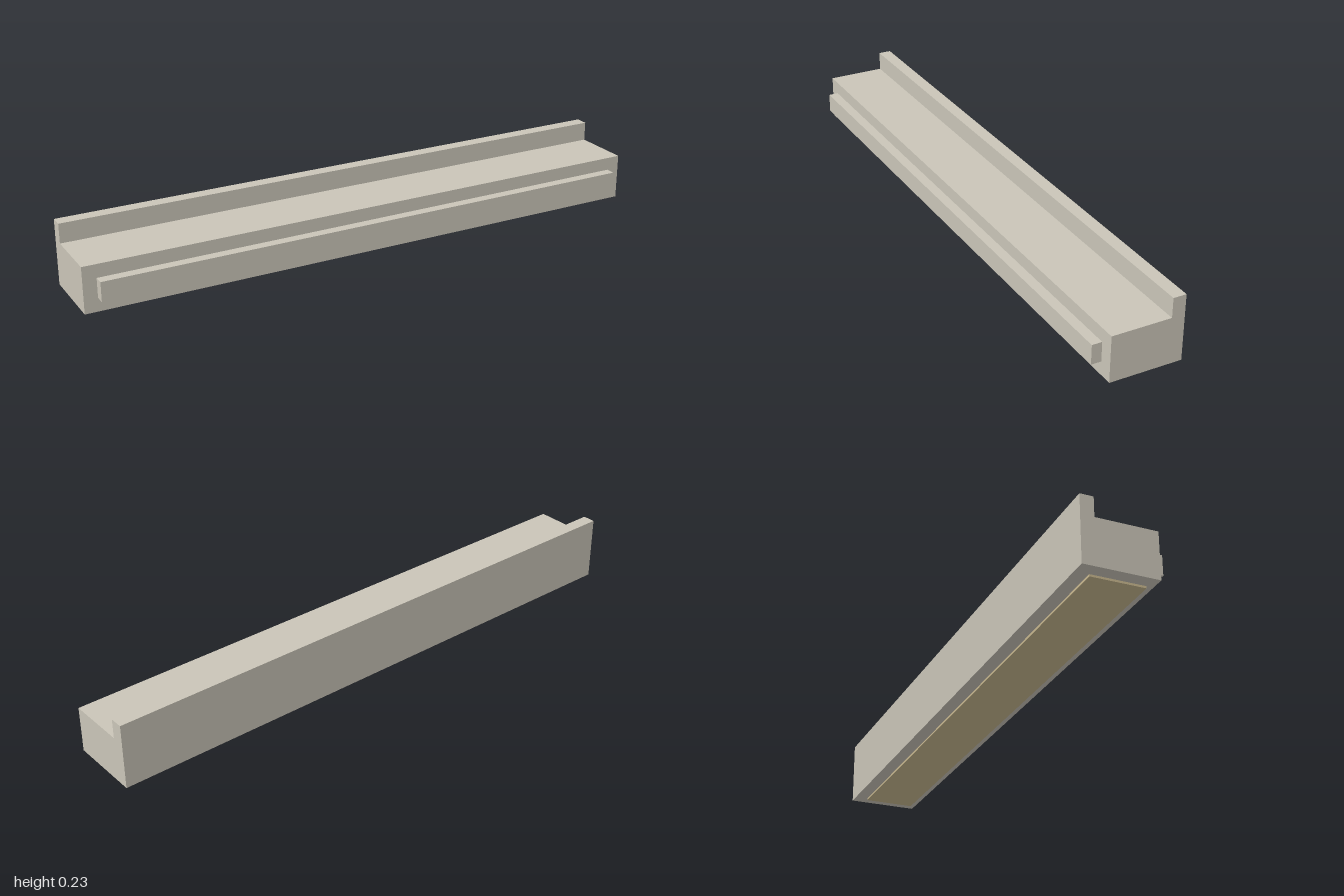
import * as THREE from 'three';

export function createModel() {
  const model = new THREE.Group();
  const stone = new THREE.MeshStandardMaterial({ color: 0xcac5b8 });
  stone.name = 'pale stone';
  const tan = new THREE.MeshStandardMaterial({ color: 0xc8b88f });
  tan.name = 'warm tan';

  // L-shaped body: section given as (z, y), swept along x
  const section = new THREE.Shape([
    [0.105, 0.007], [0.105, 0.163], [-0.095, 0.163],
    [-0.095, 0.229], [-0.139, 0.229], [-0.139, 0.007],
  ].map(([z, y]) => new THREE.Vector2(z, y)));
  const bodyGeometry = new THREE.ExtrudeGeometry(section, { depth: 2, bevelEnabled: false });
  bodyGeometry.rotateY(-Math.PI / 2).translate(1, 0, 0);
  const body = new THREE.Mesh(bodyGeometry, stone);
  body.name = 'bodyWithBackLip';
  model.add(body);

  // Box set by its y and z limits, centred on x
  function addBar(name, material, width, y0, y1, z0, z1) {
    const bar = new THREE.Mesh(new THREE.BoxGeometry(width, y1 - y0, z1 - z0), material);
    bar.position.set(0, (y0 + y1) / 2, (z0 + z1) / 2);
    bar.name = name;
    model.add(bar);
  }

  // Raised strip on the front and thin panel underneath
  addBar('frontStrip', stone, 1.91, 0.052, 0.118, 0.105, 0.139);
  addBar('undersidePanel', tan, 1.91, 0, 0.007, -0.094, 0.083);

  return model;
}
